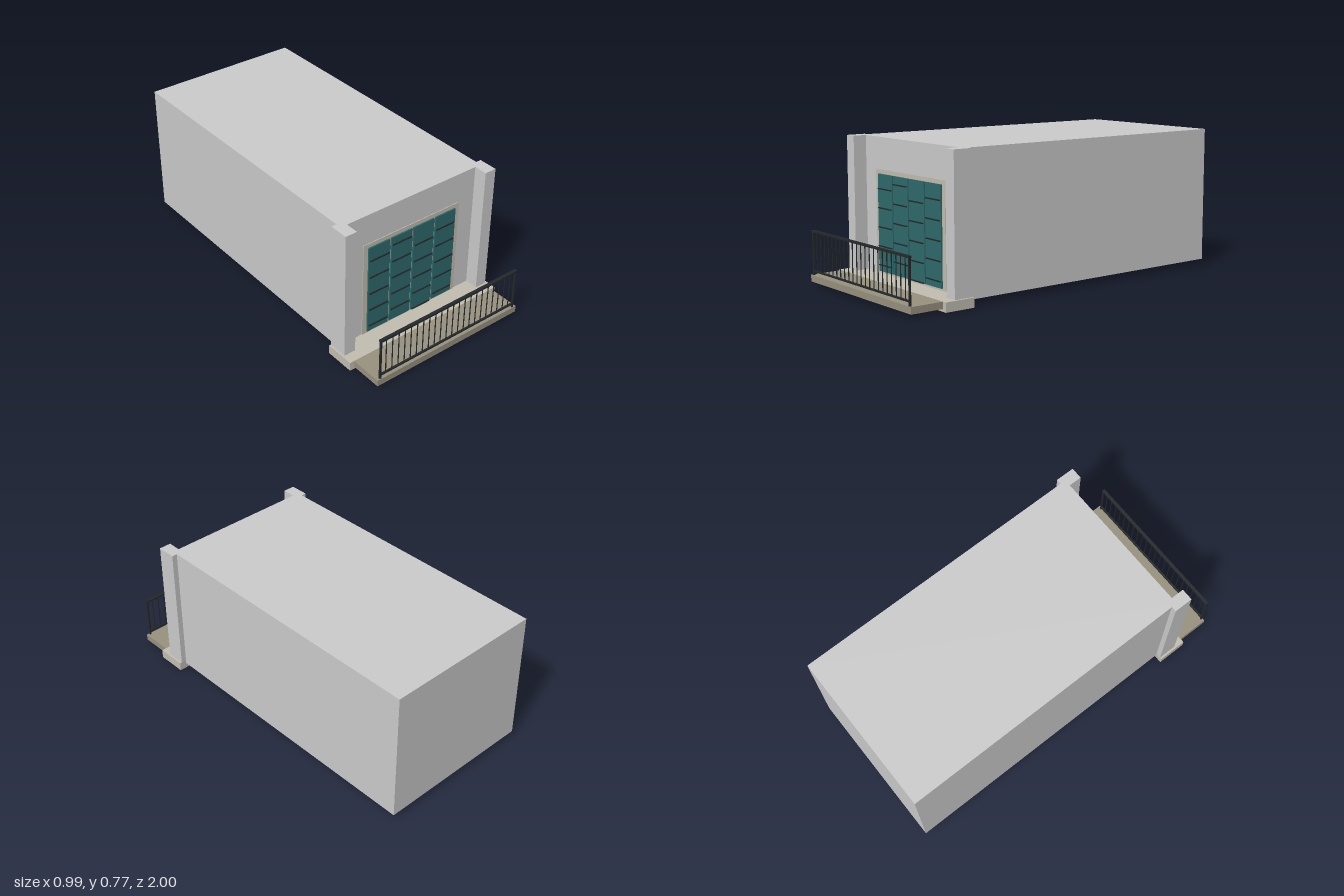
import * as THREE from 'three';

const mat = (color) => new THREE.MeshStandardMaterial({ color });

export function createModel() {
  const model = new THREE.Group();
  const wall = mat(0xcccccc), stone = mat(0xc3beb1), darkStone = mat(0x98917f);
  const shutter = mat(0x2f6a6c), iron = mat(0x24292b);

  // Box given by its extents on each axis
  const box = (name, [x0, x1], [y0, y1], [z0, z1], material, parent = model) => {
    const mesh = new THREE.Mesh(new THREE.BoxGeometry(x1 - x0, y1 - y0, z1 - z0), material);
    mesh.position.set((x0 + x1) / 2, (y0 + y1) / 2, (z0 + z1) / 2);
    mesh.name = name;
    parent.add(mesh);
    return mesh;
  };
  const around = (c, size) => [c - size / 2, c + size / 2];

  // Room block and the pilasters at its front corners
  box('roomBlock', [-0.453, 0.453], [0.03, 0.772], [-1, 0.683], wall);
  box('leftPilaster', [0.415, 0.483], [0.05, 0.772], [0.65, 0.758], wall);
  box('rightPilaster', [-0.483, -0.415], [0.05, 0.772], [0.65, 0.758], wall);

  // Stone ledge and balcony slab
  box('ledge', [-0.495, 0.495], [0, 0.05], [0.65, 0.818], stone);
  box('balconySlab', [-0.47, 0.47], [0.014, 0.05], [0.818, 1], darkStone);

  // Door surround with four shuttered leaves
  const door = new THREE.Group();
  door.name = 'balconyDoor';
  model.add(door);
  box('doorFrame', [-0.313, 0.313], [0.05, 0.603], [0.67, 0.687], stone, door);
  const topSlats = [0.502, 0.537, 0.47, 0.502];
  topSlats.forEach((top, i) => {
    const x = -0.217 + i * 0.1445;
    box('shutterLeaf', around(x, 0.135), [0.062, 0.58], [0.68, 0.695], shutter, door);
    for (let k = 0; k < 5; k++) {
      box('shutterSlat', around(x, 0.123), around(top - k * 0.1013, 0.006), [0.69, 0.701], iron, door);
    }
  });

  // Iron railing along the front edge
  const railing = new THREE.Group();
  railing.name = 'railing';
  model.add(railing);
  box('topRail', [-0.454, 0.454], [0.279, 0.289], [0.982, 1], iron, railing);
  box('bottomRail', [-0.45, 0.45], [0.068, 0.077], [0.987, 0.997], iron, railing);
  for (const s of [-1, 1]) {
    box('railingPost', around(s * 0.45, 0.009), [0.05, 0.285], [0.987, 0.997], iron, railing);
  }
  for (let i = 0; i < 22; i++) {
    box('baluster', around(-0.415 + i * 0.0395, 0.004), [0.072, 0.284], [0.99, 0.994], iron, railing);
  }

  return model;
}
